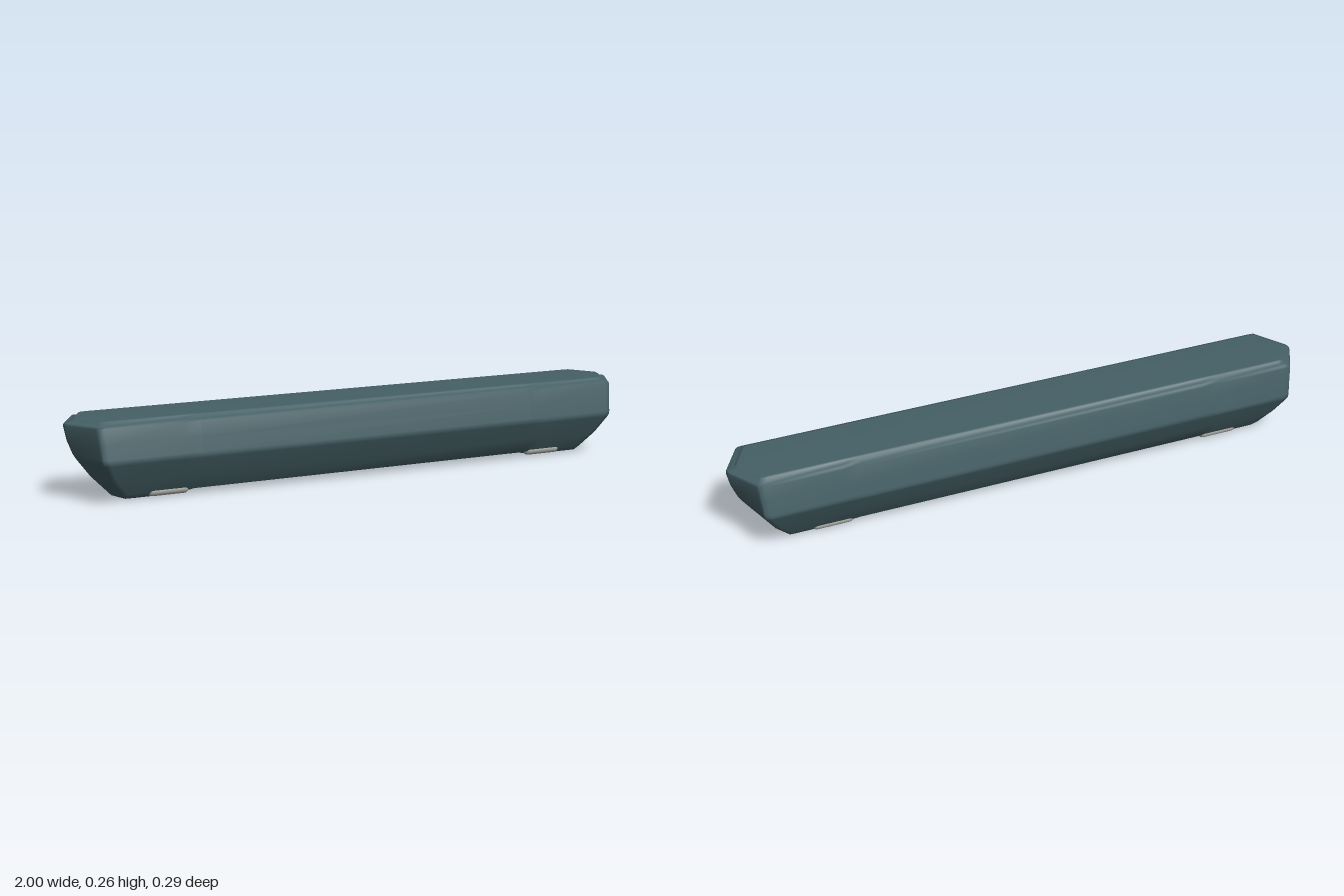
import * as THREE from 'three';

// Horizontal rings from bottom to top: [y, half length at tip, half length at shoulder, half width]
const RINGS = [
  [0, 0.78, 0.77, 0], [0, 0.83, 0.815, 0.05], [0.005, 0.85, 0.83, 0.07], [0.02, 0.865, 0.84, 0.085],
  [0.07, 0.915, 0.885, 0.113], [0.125, 0.957, 0.915, 0.143], [0.135, 0.964, 0.92, 0.146],
  [0.145, 0.97, 0.922, 0.145], [0.19, 0.989, 0.925, 0.137], [0.238, 1, 0.93, 0.128],
  [0.245, 0.994, 0.926, 0.123], [0.247, 0.977, 0.917, 0.11], [0.255, 0.968, 0.912, 0.102],
  [0.258, 0.962, 0.908, 0.096], [0.258, 0.9, 0.88, 0],
];

// Long hexagonal outline with softened corners, as [x, z] points
function outline(tip, shoulder, w) {
  const d = tip - shoulder;
  const quarter = [
    [tip, 0], [shoulder + 0.94 * d, 0.1 * w], [shoulder + 0.12 * d, 0.9 * w],
    [shoulder + 0.03 * d, 0.985 * w], [shoulder - 0.015, w], [0.66, w], [0.6, w],
  ];
  const half = [...quarter, ...quarter.slice().reverse().map(([x, z]) => [-x, z])];
  const back = half.slice(1, -1).reverse().map(([x, z]) => [x, -z]);
  return [...half, ...back];
}

function bodyGeometry() {
  const positions = [], index = [];
  let n = 0;
  RINGS.forEach(([y, tip, shoulder, w], j) => {
    const pts = outline(tip, shoulder, w);
    n = pts.length;
    pts.forEach(([x, z], i) => {
      // the underside is raised between the two end feet
      positions.push(x, Math.abs(x) < 0.63 ? Math.max(y, 0.015) : y, z);
      if (j === RINGS.length - 1) return;
      const a = j * n + i, b = j * n + (i + 1) % n;
      index.push(a, a + n, b, b, a + n, b + n);
    });
  });
  const g = new THREE.BufferGeometry();
  g.setAttribute('position', new THREE.Float32BufferAttribute(positions, 3));
  g.setIndex(index);
  g.computeVertexNormals();
  return g;
}

export function createModel() {
  const model = new THREE.Group();
  model.name = 'barrier';
  const slate = new THREE.MeshStandardMaterial({ name: 'slate teal', color: 0x456066 });
  const grey = new THREE.MeshStandardMaterial({ name: 'light grey', color: 0xb4b6b0 });

  const body = new THREE.Mesh(bodyGeometry(), slate);
  body.name = 'body';
  model.add(body);

  // Four rounded pads let into the lower edges
  const padGeometry = new THREE.CapsuleGeometry(0.018, 0.104, 6, 16).rotateZ(Math.PI / 2);
  for (const sx of [-1, 1]) {
    for (const sz of [-1, 1]) {
      const pad = new THREE.Mesh(padGeometry, grey);
      pad.name = (sz > 0 ? 'front' : 'back') + (sx > 0 ? 'Left' : 'Right') + 'Pad';
      pad.position.set(sx * 0.69, 0.022, sz * 0.07);
      model.add(pad);
    }
  }
  return model;
}
